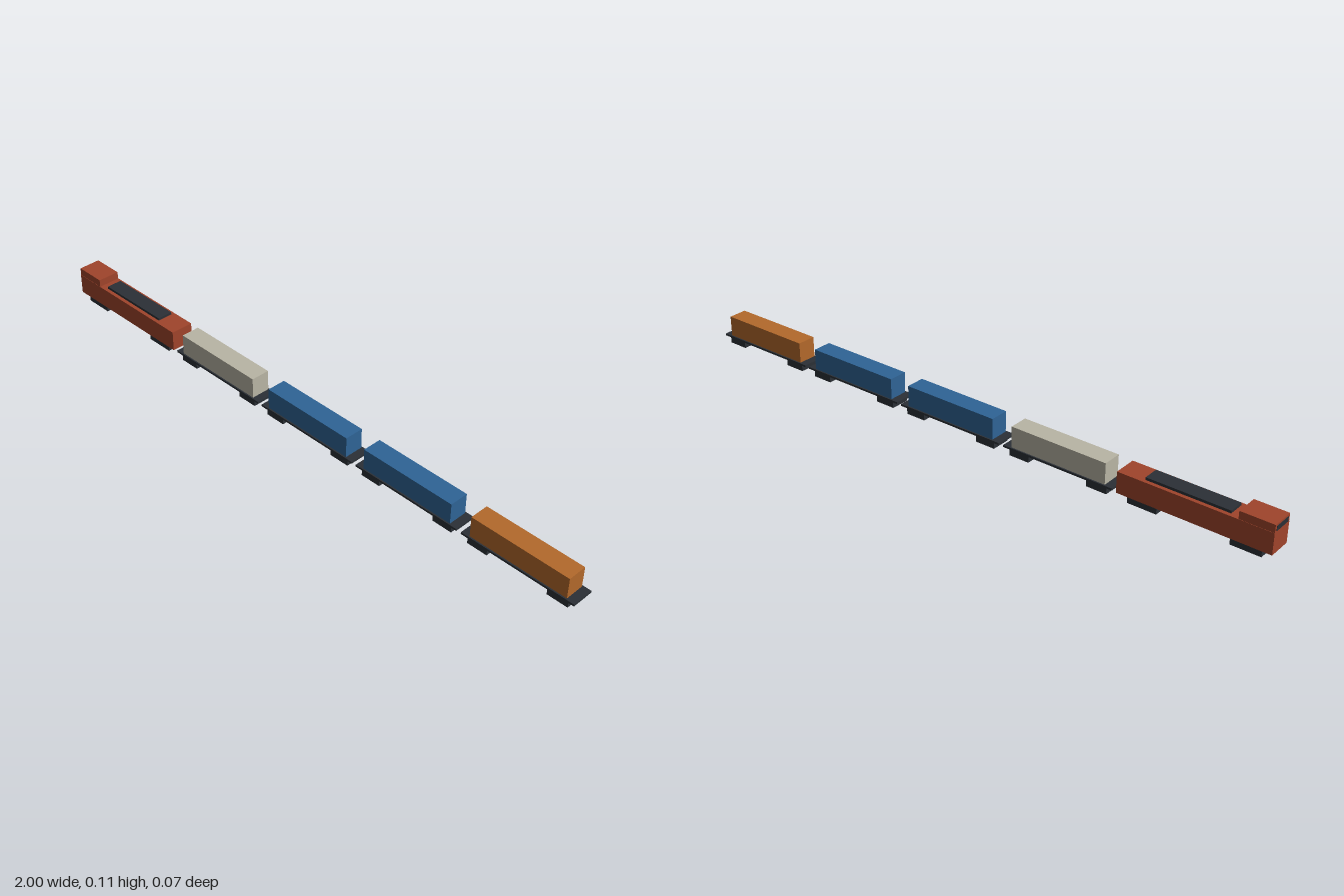
import * as THREE from 'three';

const paint = (color) => new THREE.MeshStandardMaterial({ color, flatShading: true });
const DARK = paint(0x2b3036);
const RED = paint(0xa0442b);

// Box given by its extent in x and y, centred on z = 0
function block(parent, name, x0, x1, y0, y1, width, material) {
  const mesh = new THREE.Mesh(new THREE.BoxGeometry(x1 - x0, y1 - y0, width), material);
  mesh.position.set((x0 + x1) / 2, (y0 + y1) / 2, 0);
  mesh.name = name;
  parent.add(mesh);
}

// Pair of bogies placed symmetrically under a vehicle
function bogies(parent, offset, length) {
  for (const side of [-1, 1]) {
    const x = side * offset;
    block(parent, 'bogie', x - length / 2, x + length / 2, 0, 0.022, 0.061, DARK);
  }
}

function locomotive() {
  const g = new THREE.Group();
  g.name = 'locomotive';
  block(g, 'body', -0.2315, 0.233, 0.022, 0.087, 0.074, RED);
  block(g, 'cab', -0.2315, -0.13, 0.087, 0.111, 0.072, RED);
  block(g, 'windscreen', -0.2325, -0.225, 0.09, 0.105, 0.058, DARK);
  block(g, 'roofGrille', -0.103, 0.152, 0.087, 0.095, 0.05, DARK);
  block(g, 'underframe', -0.215, 0.215, 0.019, 0.023, 0.04, DARK);
  bogies(g, 0.155, 0.091);
  return g;
}

function wagon(color) {
  const g = new THREE.Group();
  g.name = 'containerWagon';
  block(g, 'flatbed', -0.184, 0.184, 0.0214, 0.0276, 0.07, DARK);
  block(g, 'container', -0.158, 0.158, 0.0276, 0.0938, 0.061, paint(color));
  bogies(g, 0.131, 0.066);
  return g;
}

export function createModel() {
  const train = new THREE.Group();
  train.name = 'freightTrain';

  const engine = locomotive();
  engine.position.x = -0.7675;
  train.add(engine);

  // Rake of wagons, evenly spaced behind the locomotive
  [0xb9b5a5, 0x2f6496, 0x2f6496, 0xb3692b].forEach((color, i) => {
    const w = wagon(color);
    w.position.x = -0.336 + i * 0.384;
    train.add(w);
  });
  return train;
}
